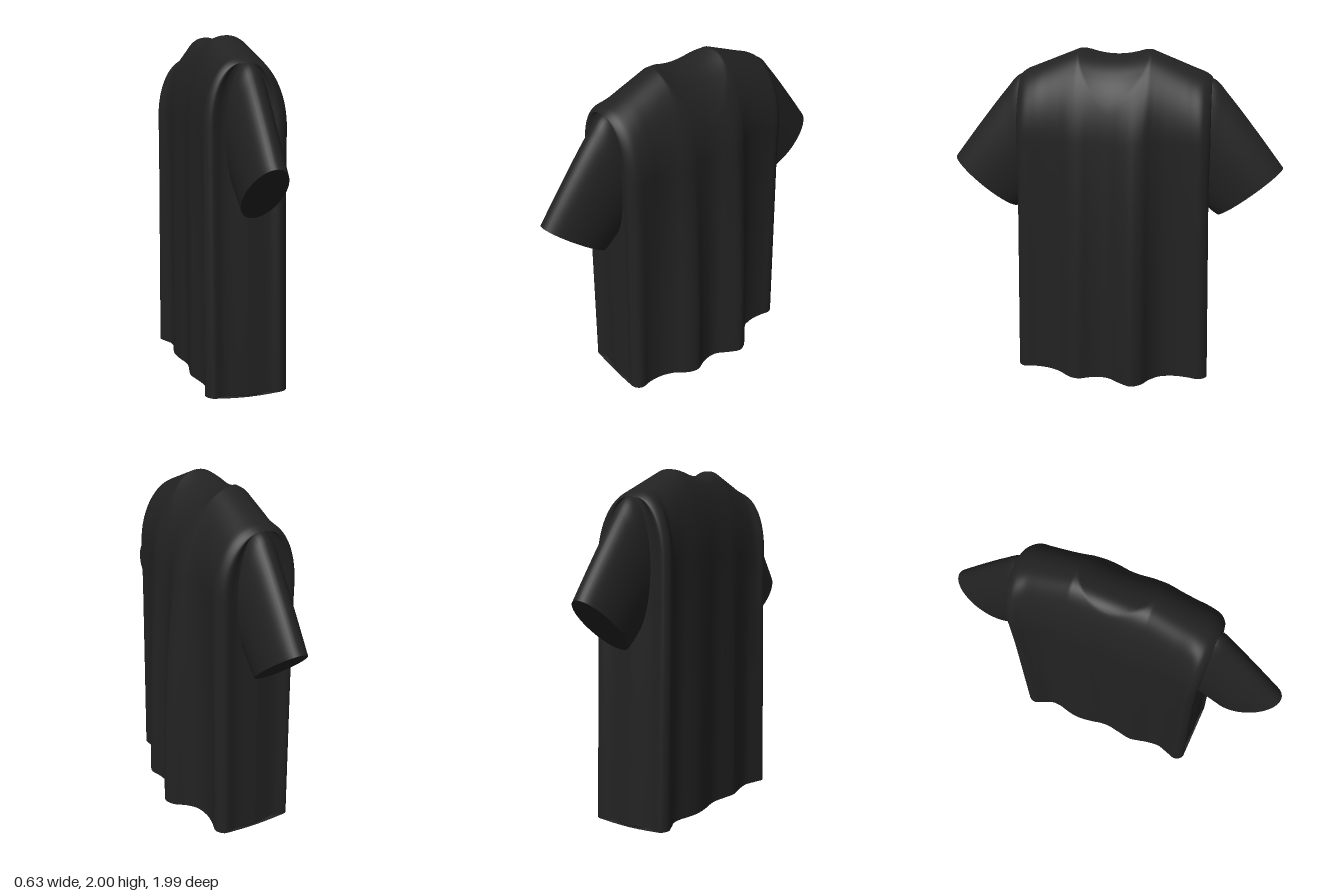
import * as THREE from 'three';

const SPINE = -0.08; // x of the shoulder ridge
const CHEST = 1.5;   // height where the torso starts to arch over

// Smooth grid surface from point(u, v), u and v in 0..1
function surface(point, nu, nv, closed = false) {
  const pos = [], index = [], cols = closed ? nu : nu + 1;
  for (let j = 0; j <= nv; j++)
    for (let i = 0; i < cols; i++) pos.push(...point(i / nu, j / nv));
  for (let j = 0; j < nv; j++)
    for (let i = 0; i < nu; i++) {
      const a = j * cols + i, b = j * cols + (i + 1) % cols;
      index.push(a, b, a + cols, b, b + cols, a + cols);
    }
  const g = new THREE.BufferGeometry();
  g.setAttribute('position', new THREE.Float32BufferAttribute(pos, 3));
  g.setIndex(index);
  g.computeVertexNormals();
  return g;
}

// Hem outlines as [z, x], from the left side to the right side
const frontHem = [[0.585, SPINE], [0.585, 0.05], [0.6, 0.11], [0.565, 0.155], [0.48, 0.15], [0.4, 0.16],
  [0.32, 0.195], [0.25, 0.25], [0.19, 0.267], [0.12, 0.242], [0.05, 0.23], [0, 0.24], [-0.07, 0.285],
  [-0.14, 0.317], [-0.2, 0.29], [-0.25, 0.22], [-0.31, 0.17], [-0.4, 0.15], [-0.48, 0.157],
  [-0.555, 0.17], [-0.6, 0.13], [-0.585, 0.05], [-0.585, SPINE]];
const backHem = [[0.585, SPINE], [0.57, -0.21], [0.585, -0.28], [0.54, -0.315], [0.48, -0.3], [0.4, -0.275],
  [0.32, -0.28], [0.25, -0.295], [0.19, -0.305], [0.1, -0.29], [0.03, -0.277], [-0.03, -0.277],
  [-0.1, -0.29], [-0.16, -0.298], [-0.22, -0.3], [-0.29, -0.288], [-0.36, -0.27], [-0.42, -0.27],
  [-0.48, -0.295], [-0.54, -0.315], [-0.585, -0.29], [-0.57, -0.21], [-0.585, SPINE]];
const curve = pts => new THREE.CatmullRomCurve3(pts.map(([z, x]) => new THREE.Vector3(x, 0, z)));
// The same outline with its folds smoothed away
const relaxed = (pts, x) => pts.map(p => Math.abs(p[0]) < 0.5 ? [p[0], x] : p);
const front = { hem: curve(frontHem), base: curve(relaxed(frontHem, 0.175)) };
const back = { hem: curve(backHem), base: curve(relaxed(backHem, -0.285)) };

// Outline point at a height: folds fade and the width tapers upwards
function outline(side, u, y) {
  const fold = 1 - (y / 1.9) ** 2;
  const p = side.base.getPoint(u).lerp(side.hem.getPoint(u), Math.max(0, fold));
  p.z *= 1 - 0.055 * Math.min(1, y / 1.2);
  return p;
}

// Height of the shoulder ridge
function ridge(z) {
  const a = Math.abs(z);
  return 2 - 0.4 * Math.max(0, a - 0.21) - 2 * Math.max(0, a - 0.52) ** 1.6;
}

// Torso: up the front, over the shoulders and down the back
function torsoPoint(u, v) {
  if (v < 0.25 || v > 0.75) {
    const y = 0.01 + (CHEST - 0.01) * (v < 0.25 ? v : 1 - v) * 4;
    const p = outline(v < 0.25 ? front : back, u, y);
    return [p.x, y, p.z];
  }
  const phi = (v - 0.25) * 2 * Math.PI, s = Math.sin(phi), c = Math.abs(Math.cos(phi));
  const isFront = v <= 0.5, h = CHEST + 0.5 * s;
  const p = outline(isFront ? front : back, u, h), q = outline(isFront ? back : front, u, h);
  const z = p.z + (q.z - p.z) * 0.5 * s;
  const x = SPINE + (p.x - SPINE) * (isFront ? c : c ** 0.8);
  let y = CHEST + (ridge(z) - CHEST) * s;
  // Sunken neck opening
  const r2 = ((x + 0.015) / 0.185) ** 2 + (z / 0.21) ** 2;
  if (r2 < 1) y -= 0.045 * (1 - r2);
  return [x, y, z];
}

// Hem underside, spanning from back to front
function hemPoint(u, v) {
  const p = outline(back, u, 0).lerp(outline(front, u, 0), v);
  return [p.x, 0.01 - 0.01 * Math.sin(Math.PI * v), p.z];
}

// Sleeve edges in the plane of the arms
const edge = pts => new THREE.CatmullRomCurve3(pts.map(([z, y]) => new THREE.Vector3(0, y, z)));
const upperEdge = edge([[0.48, 1.86], [0.575, 1.84], [0.66, 1.75], [0.83, 1.54], [0.995, 1.325]]);
const lowerEdge = edge([[0.48, 1.13], [0.53, 1.09], [0.56, 1.065], [0.59, 1.04], [0.62, 1.02]]);

function sleevePoint(u, v, side, shrink = 1) {
  const top = upperEdge.getPoint(v), low = lowerEdge.getPoint(v);
  const a = u * Math.PI * 2, k = 0.5 + 0.5 * Math.cos(a) * shrink;
  const p = low.lerp(top, k);
  const depth = 0.13 - 0.017 * v;
  return [-0.073 - side * Math.sin(a) * depth * shrink, p.y, side * p.z];
}

export function createModel() {
  const group = new THREE.Group();
  const cloth = new THREE.MeshStandardMaterial({ color: 0x222222, side: THREE.DoubleSide });
  cloth.name = 'black cloth';
  const add = (name, geometry) => {
    const mesh = new THREE.Mesh(geometry, cloth);
    mesh.name = name;
    group.add(mesh);
  };

  add('torso', surface(torsoPoint, 150, 128));
  add('hem', surface(hemPoint, 150, 6));

  for (const side of [1, -1]) {
    const name = side > 0 ? 'left' : 'right';
    add(name + 'Sleeve', surface((u, v) => sleevePoint(u, v, side), 48, 24, true));
    add(name + 'SleeveOpening', surface((u, v) => sleevePoint(u, 1, side, 1 - v), 48, 4, true));
  }
  return group;
}
